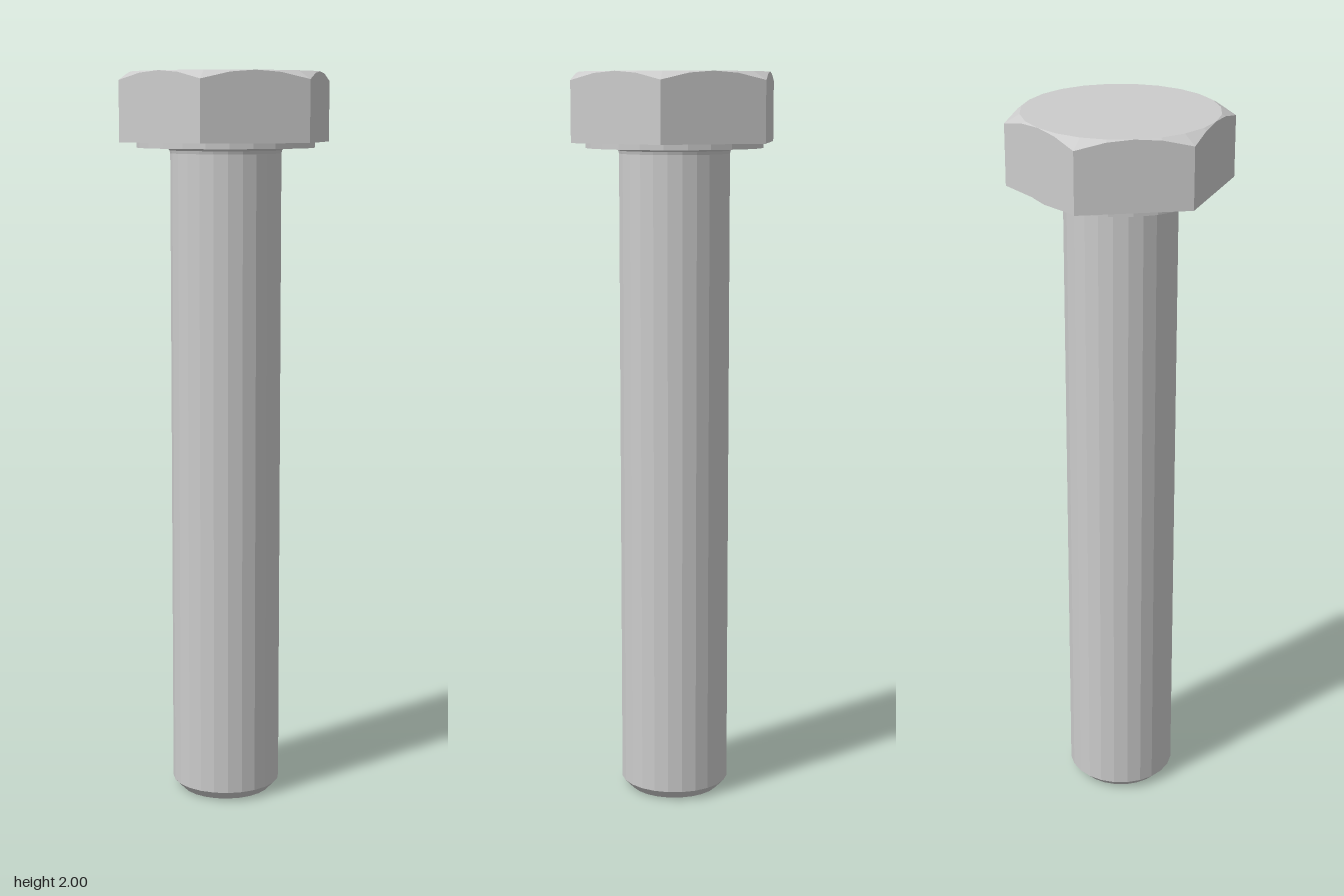
import * as THREE from 'three';

const SEGMENTS = 24;
const FLAT = 0.256; // centre to flat of the hexagon

function lathe(points) {
  return new THREE.LatheGeometry(points.map(([x, y]) => new THREE.Vector2(x, y)), SEGMENTS);
}

// Turned blank whose rim is pushed out to a hexagon; the 30 degree chamfer dips at the corners
function headGeometry() {
  const bottom = 1.815, top = 2;
  const geometry = lathe([[0, bottom], [FLAT, bottom], [FLAT, top], [FLAT, top], [0, top]]);
  const position = geometry.attributes.position;
  const sector = Math.PI / 3;
  for (let i = 0; i <= SEGMENTS; i++) {
    const angle = (i / SEGMENTS) * Math.PI * 2;
    const offset = ((angle + sector / 2) % sector) - sector / 2;
    const r = FLAT / Math.cos(offset);
    const rimY = top - (r - FLAT) * Math.tan(Math.PI / 6);
    const x = r * Math.sin(angle), z = r * Math.cos(angle);
    position.setXYZ(i * 5 + 1, x, bottom, z);
    position.setXYZ(i * 5 + 2, x, rimY, z);
  }
  return geometry;
}

export function createModel() {
  const group = new THREE.Group();
  group.name = 'hexBolt';
  const material = new THREE.MeshStandardMaterial({ color: 0xcccccc, flatShading: true });

  const add = (name, geometry) => {
    const flat = geometry.toNonIndexed();
    flat.computeVertexNormals();
    const mesh = new THREE.Mesh(flat, material);
    mesh.name = name;
    group.add(mesh);
  };

  add('head', headGeometry());

  // Thin bearing face under the head
  add('washerFace', lathe([[0.14, 1.8], [0.24, 1.8], [0.24, 1.815]]));

  // Shank with chamfered tip and a small fillet below the head
  add('shank', lathe([
    [0, 0], [0.125, 0], [0.15, 0.026], [0.15, 1.785],
    [0.152, 1.793], [0.157, 1.798], [0.165, 1.8],
  ]));

  return group;
}
